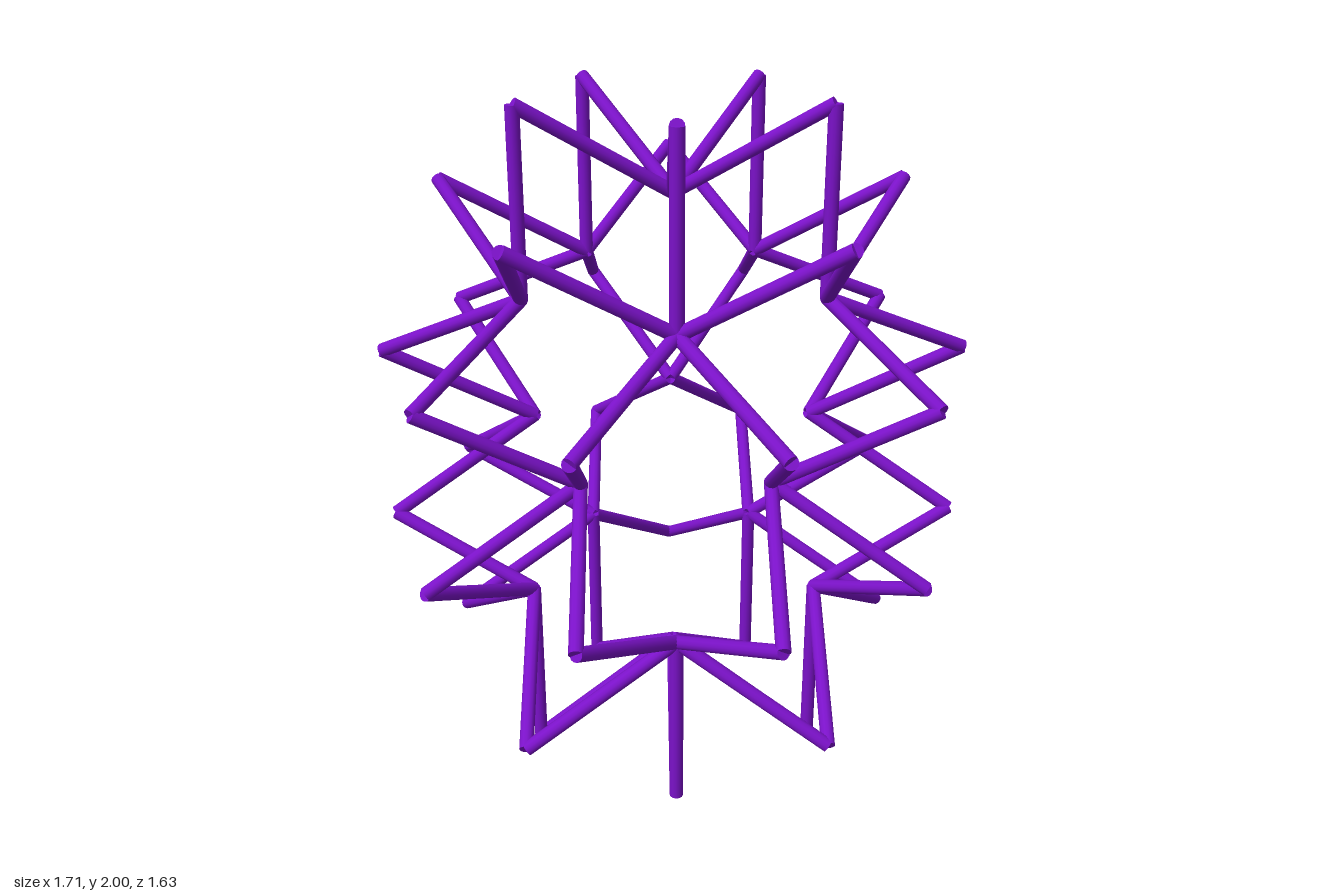
import * as THREE from 'three';

const R = 0.443;           // horizontal reach of every sloping strut
const STRUT = 0.02;        // strut radius
const Y = { pole: 0.72, crown: 0.983, shoulder: 0.455, point: 0.712, side: 0.262 }; // heights from mid-plane

// Horizontal step at an angle in degrees, measured from the back
const step = (deg) => {
  const a = THREE.MathUtils.degToRad(deg);
  return new THREE.Vector3(Math.sin(a) * R, 0, -Math.cos(a) * R);
};

// Node reached by steps in the given directions, at a height from the mid-plane
const node = (h, ...dirs) => {
  const p = new THREE.Vector3(0, 1 + h, 0);
  dirs.forEach((d) => p.add(step(d)));
  return p;
};

export function createModel() {
  const model = new THREE.Group();
  model.name = 'starLattice';
  const material = new THREE.MeshStandardMaterial({ color: 0x7b12c9 });
  const up = new THREE.Vector3(0, 1, 0);

  const strut = (parent, name, a, b) => {
    const dir = b.clone().sub(a);
    const mesh = new THREE.Mesh(new THREE.CylinderGeometry(STRUT, STRUT, dir.length(), 12), material);
    mesh.name = name;
    mesh.position.copy(a).add(b).multiplyScalar(0.5);
    mesh.quaternion.setFromUnitVectors(up, dir.normalize());
    parent.add(mesh);
  };

  // Upper and lower halves mirror each other, each with five-fold symmetry
  for (const s of [1, -1]) {
    const half = new THREE.Group();
    half.name = s > 0 ? 'upperHalf' : 'lowerHalf';
    model.add(half);
    const pole = node(s * Y.pole);

    for (let k = 0; k < 5; k++) {
      const t = k * 72;
      const crown = node(s * Y.crown, t);
      const shoulder = node(s * Y.shoulder, t);

      // Spoke from the pole and the upright below it
      strut(half, 'crownSpoke', pole, crown);
      strut(half, 'crownUpright', shoulder, crown);

      // Raised point between neighbouring shoulders
      const point = node(s * Y.point, t, t + 72);
      strut(half, 'shoulderPoint', shoulder, point);
      strut(half, 'shoulderPoint', node(s * Y.shoulder, t + 72), point);

      // Side points joining the shoulder to the waist nodes
      for (const d of [36, -36]) {
        const side = node(s * Y.side, t, t + d);
        strut(half, 'sidePoint', shoulder, side);
        strut(half, 'waistStrut', side, node(0, t + d));
      }
    }
  }
  return model;
}
